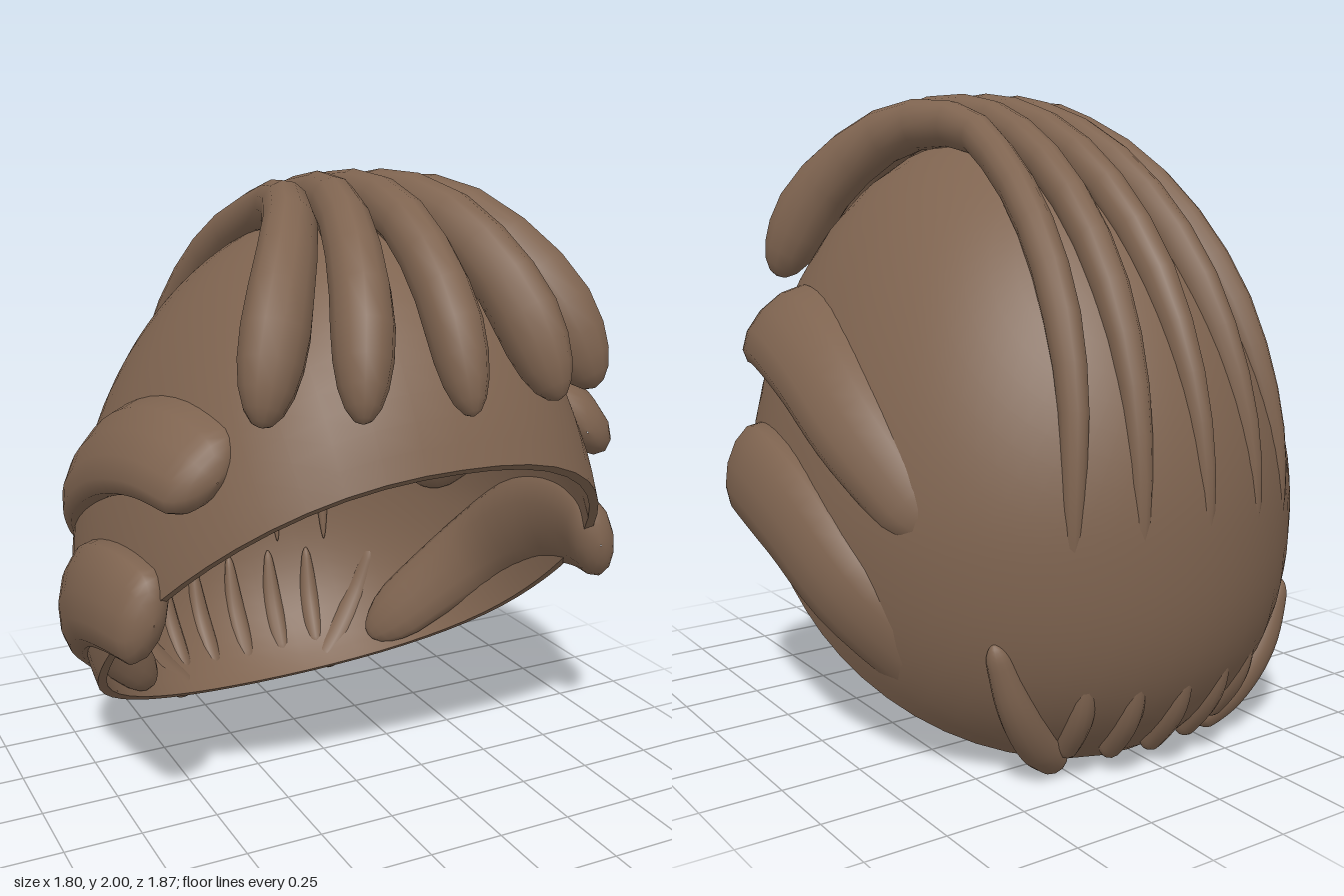
import * as THREE from 'three';

const V = (x, y, z) => new THREE.Vector3(x, y, z);
const CENTRE = V(0, 0.6, 0.1);              // middle of the tilted opening
const AXIS = V(0, 1, -0.86).normalize();    // points from the opening to the crown
const SIDE = V(1, 0, 0);
const BACK = AXIS.clone().cross(SIDE);

// Egg-shaped head, squarer in front and narrower on top: below 1 is inside
function egg(p) {
  const up = p.y > 0.75;
  const v = Math.abs(p.y - 0.75) / (up ? 1.13 : 0.86);
  const x = Math.abs(p.x) / (up ? 0.82 * (1 - 0.12 * Math.min(v, 1)) : 0.82);
  const z = (p.z - (up ? 0.12 * v * v : 0)) / 0.94;
  const n = z > 0 ? 2.5 : 2;
  const e = up ? 2 : 2.5;
  return (x ** n + Math.abs(z) ** n) ** (e / n) + v ** e;
}

// Point on the head in a direction from the centre, raised by lift
function onHead(dir, lift = 0) {
  let lo = 0, hi = 3;
  for (let i = 0; i < 30; i++) {
    const mid = (lo + hi) / 2;
    if (egg(CENTRE.clone().addScaledVector(dir, mid)) < 1) lo = mid; else hi = mid;
  }
  return CENTRE.clone().addScaledVector(dir, lo + lift);
}

// Closed-ring loft
function loft(rings) {
  const n = rings[0].length, index = [];
  for (let i = 0; i < rings.length - 1; i++) {
    for (let j = 0; j < n; j++) {
      const a = i * n + j, b = i * n + (j + 1) % n;
      index.push(a, b, a + n, b, b + n, a + n);
    }
  }
  const g = new THREE.BufferGeometry().setFromPoints(rings.flat());
  g.setIndex(index);
  g.computeVertexNormals();
  return g;
}

// Hollow cap, outer skin down to the rim and back up the inside
function capGeometry() {
  const rows = 24, cols = 56;
  const ring = (i, lift) => Array.from({ length: cols }, (_, j) => {
    const phi = -j / cols * Math.PI * 2;
    const edge = Math.PI / 2 + 0.07 * Math.cos(phi) ** 2;
    const theta = Math.max(i / rows, 0.002) * edge;
    const dir = AXIS.clone().multiplyScalar(Math.cos(theta))
      .addScaledVector(SIDE, Math.sin(theta) * Math.cos(phi))
      .addScaledVector(BACK, Math.sin(theta) * Math.sin(phi));
    return onHead(dir, lift);
  });
  const rings = [];
  for (let i = 0; i <= rows; i++) rings.push(ring(i, 0));
  rings.push(ring(rows, 0), ring(rows, -0.03));   // doubled rings keep the rim crisp
  for (let i = rows; i >= 0; i--) rings.push(ring(i, -0.03));
  return loft(rings);
}

// Lock of hair laid over the head; width and lift are functions of t along it
function lockGeometry(points, mirror, ratio, width, lift) {
  const path = new THREE.CatmullRomCurve3(points.map((q, i) => {
    const dir = V(q.x * mirror, q.y, q.z).sub(CENTRE).normalize();
    return onHead(dir, lift(i / (points.length - 1)));
  }));
  const steps = 28, sides = 12, rings = [];
  for (let i = 0; i <= steps; i++) {
    const t = (1 - Math.cos(i / steps * Math.PI)) / 2;   // closer rings at the rounded ends
    const d = Math.min(1, Math.min(t, 1 - t) / 0.09);
    const w = width(t) * Math.max(0.02, Math.sqrt(1 - (1 - d) ** 2));
    const p = path.getPoint(t), T = path.getTangent(t);
    const N = p.clone().sub(CENTRE);
    N.addScaledVector(T, -N.dot(T)).normalize();
    const B = N.clone().cross(T);
    rings.push(Array.from({ length: sides }, (_, j) => {
      const a = j / sides * Math.PI * 2;
      return p.clone().addScaledVector(B, Math.cos(a) * w)
        .addScaledVector(N, Math.sin(a) * w * ratio);
    }));
  }
  return loft(rings);
}

// Crown lock k steps out from the middle: pinched on top, spread at both ends
function crownPoints(k) {
  const back = -1.7, front = 0.78 - 0.03 * k * k, pinch = 0.05;
  return Array.from({ length: 11 }, (_, i) => {
    const a = back + (front - back) * i / 10;
    const p = onHead(V(0, Math.cos(a), Math.sin(a)));
    const spread = a < pinch
      ? 0.13 * Math.min(1, (pinch - a) / 1.35)
      : 0.2 * (a - pinch) / (front - pinch);
    p.x = k * (0.088 + spread);
    return p;
  });
}
const frontness = (t) => Math.max(0, (t - 0.66) / 0.34);

export function createModel() {
  const model = new THREE.Group();
  model.name = 'hair';
  const brown = new THREE.MeshStandardMaterial({ color: 0x7f6450 });
  brown.name = 'brownHair';
  const add = (geometry, name) => {
    const mesh = new THREE.Mesh(geometry, brown);
    mesh.name = name;
    model.add(mesh);
  };
  const addLock = (name, points, ...shape) => {
    if (points.every((p) => p.x === 0)) {
      add(lockGeometry(points, 1, ...shape), name);
    } else {
      add(lockGeometry(points, 1, ...shape), name + 'Left');
      add(lockGeometry(points, -1, ...shape), name + 'Right');
    }
  };

  add(capGeometry(), 'hairCap');

  // Five long locks from the fringe over the crown, sinking through the cap at the back
  ['centreCrownLock', 'innerCrownLock', 'outerCrownLock'].forEach((name, k) => {
    addLock(name, crownPoints(k), 1.15,
      (t) => 0.015 + 0.04 * Math.min(1, t * 2.5) + (0.03 + 0.012 * k) * frontness(t),
      (t) => -0.05 + 0.09 * Math.min(1, t / 0.6) + 0.08 * Math.sin(frontness(t) * 2.2));
  });

  // Broad locks sweeping back along each side and sinking in at the tail
  const sideWidth = (t) => 0.14 + 0.14 * t - 0.18 * t * t;
  const sideLift = (t) => 0.02 - 0.06 * t;
  addLock('upperSideLock', [V(0.61, 1.23, 0.6), V(0.66, 1.26, 0.35), V(0.71, 1.2, 0.05),
    V(0.73, 1.03, -0.25), V(0.68, 0.78, -0.56)], 0.52, sideWidth, sideLift);
  addLock('lowerSideLock', [V(0.76, 0.8, 0.49), V(0.8, 0.81, 0.28), V(0.81, 0.74, 0.02),
    V(0.74, 0.54, -0.25), V(0.45, 0.15, -0.52)], 0.5, sideWidth, sideLift);

  // Small locks at the nape
  addLock('napeCornerLock', [V(0.54, 0.48, -0.66), V(0.47, 0.28, -0.66),
    V(0.37, 0.12, -0.63), V(0.28, 0.01, -0.61)], 0.9,
    (t) => 0.03 + 0.03 * Math.sin(t * 2.6), (t) => 0.02 * t);
  ['centreNapeLock', 'innerNapeLock', 'outerNapeLock'].forEach((name, k) => {
    addLock(name, [V(0.165 * k, 0.44, -0.87), V(0.155 * k, 0.24, -0.78), V(0.14 * k, 0.07, -0.64)],
      1, (t) => 0.012 + 0.028 * Math.sin(t * 2.4), (t) => -0.045 + 0.055 * t);
  });
  return model;
}
